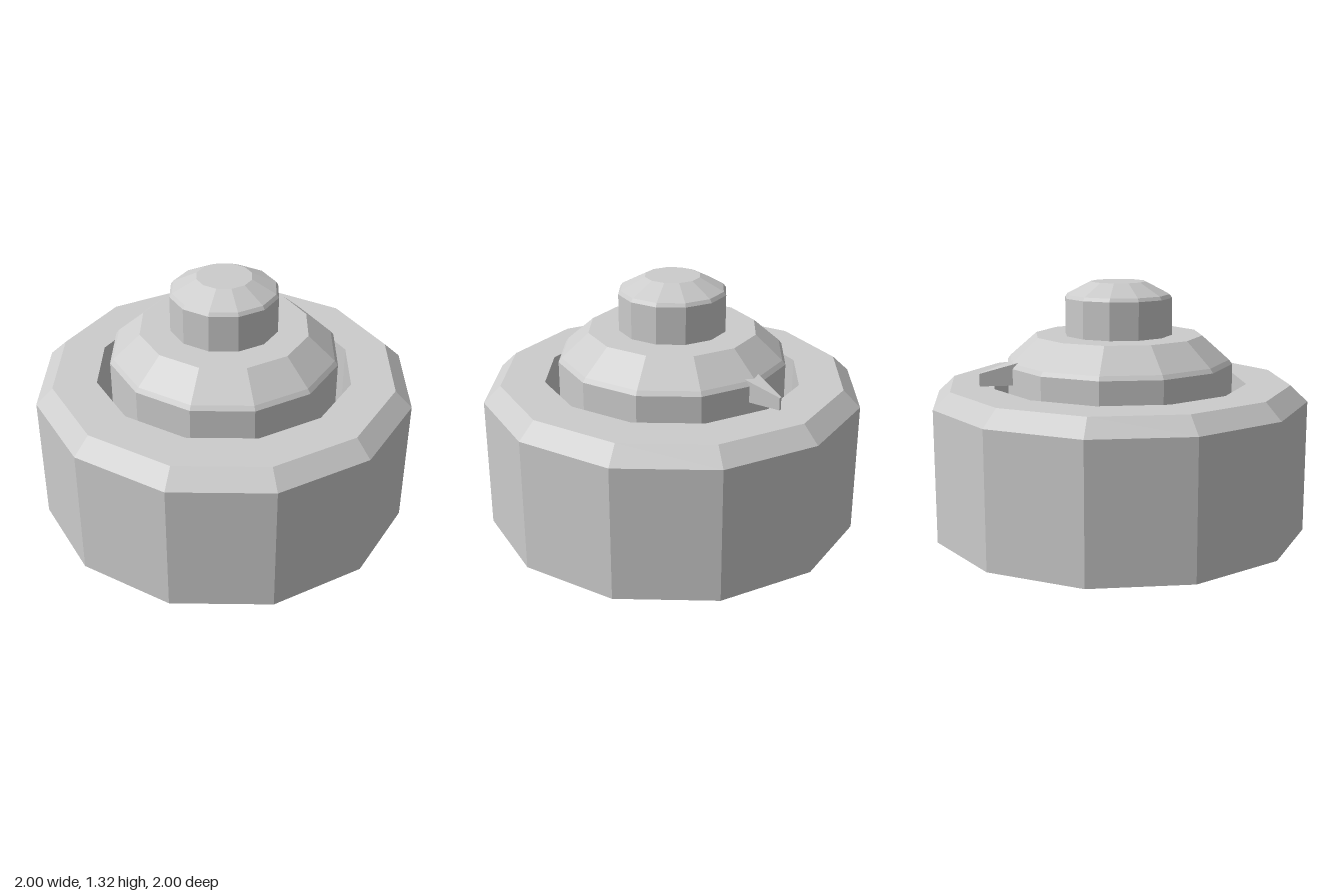
import * as THREE from 'three';

const SIDES = 12;

export function createModel() {
  const grey = new THREE.MeshStandardMaterial({ color: 0xcccccc, flatShading: true, side: THREE.DoubleSide });
  grey.name = 'light grey';
  const model = new THREE.Group();
  model.name = 'rotaryDial';

  const add = (name, geometry) => {
    const mesh = new THREE.Mesh(geometry, grey);
    mesh.name = name;
    model.add(mesh);
  };
  // Twelve-sided turned part from [radius, height] pairs
  const turned = (name, profile) =>
    add(name, new THREE.LatheGeometry(profile.map(([r, y]) => new THREE.Vector2(r, y)), SIDES));

  // Open-bottomed shell with a chamfered shoulder
  turned('housing', [[1, 0], [1, 0.7], [0.91, 0.785], [0.68, 0.785]]);

  // Recess around the knob, with its narrow floor
  turned('recess', [[0.68, 0.785], [0.68, 0.2], [0.6, 0.2]]);

  // Knob, closed underneath, with a small edge bevel and a sloped shoulder
  turned('knob', [[0, 0.185], [0.605, 0.185], [0.605, 0.89], [0.588, 0.912], [0.445, 1.037], [0, 1.037]]);

  // Push button on top
  turned('button', [[0.285, 1.037], [0.285, 1.232], [0.272, 1.25], [0.145, 1.315], [0, 1.315]]);

  // Pointer on the back: a box tapered in plan and sloped on top
  const pointer = new THREE.BoxGeometry(1, 1, 1);
  const p = pointer.attributes.position;
  for (let i = 0; i < p.count; i++) {
    const tip = p.getZ(i) < 0;
    const halfWidth = tip ? 0.006 : 0.064;
    const top = tip ? 0.87 : 0.938;
    p.setXYZ(i, Math.sign(p.getX(i)) * halfWidth, p.getY(i) > 0 ? top : 0.805, tip ? -0.757 : -0.5);
  }
  pointer.computeVertexNormals();
  add('pointer', pointer);

  return model;
}
